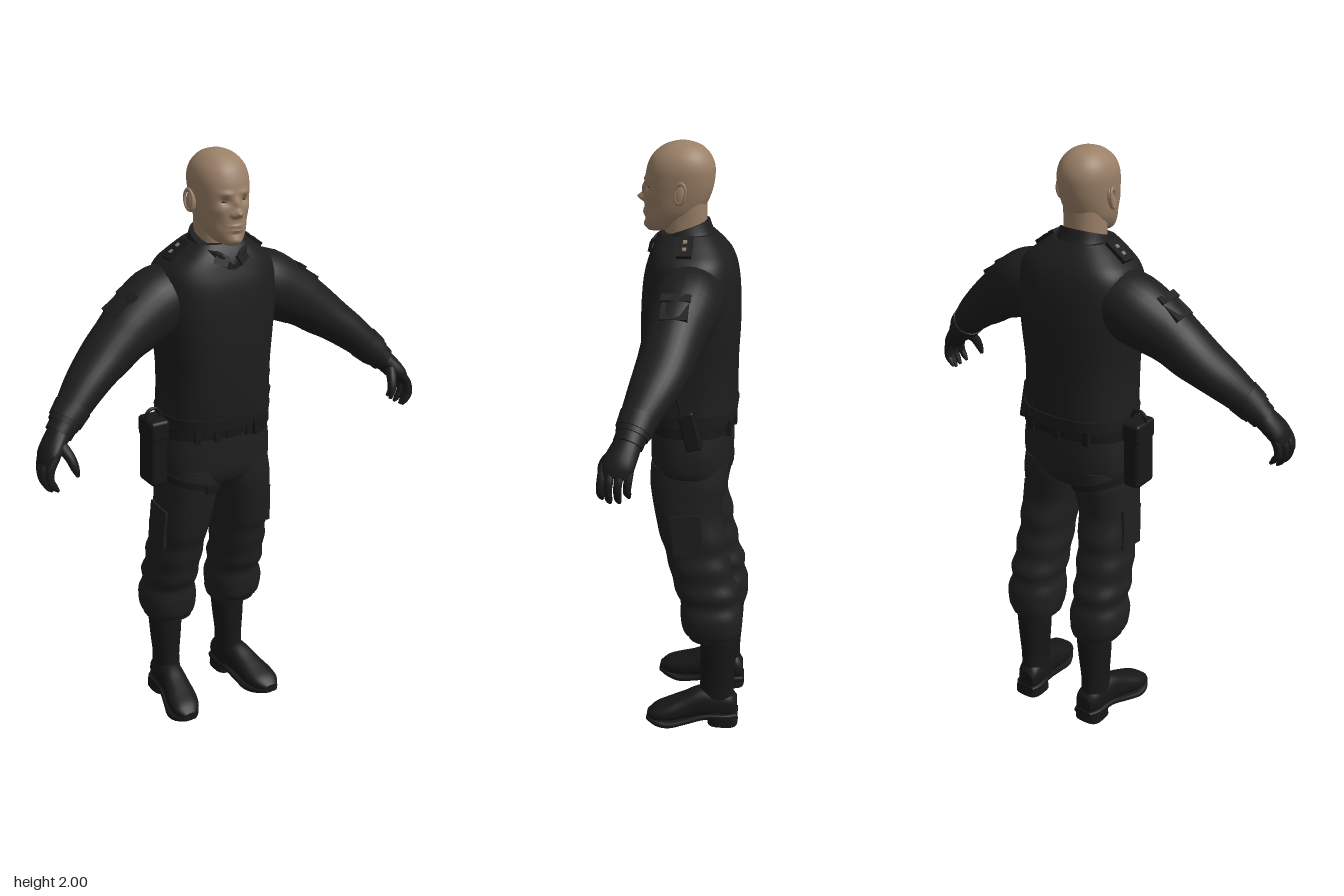
import * as THREE from 'three';
import { RoundedBoxGeometry } from 'three/addons/geometries/RoundedBoxGeometry.js';

const mat = (name, color) => Object.assign(new THREE.MeshStandardMaterial({ color }), { name });
const V3 = (x, y, z) => new THREE.Vector3(x, y, z);

// Catmull-Rom refinement of number rows
function refine(rows, sub) {
  const out = [], n = rows.length, at = i => rows[Math.min(Math.max(i, 0), n - 1)];
  for (let i = 0; i < n - 1; i++) for (let k = 0; k < sub; k++) {
    const t = k / sub, [a, b, c, d] = [at(i - 1), at(i), at(i + 1), at(i + 2)];
    out.push(b.map((_, j) => 0.5 * (2 * b[j] + (c[j] - a[j]) * t + (2 * a[j] - 5 * b[j] + 4 * c[j] - d[j]) * t * t
      + (3 * b[j] - a[j] - 3 * c[j] + d[j]) * t * t * t)));
  }
  out.push(rows[n - 1]);
  return out;
}

// Closed loft through rows [x, y, z, rv, rw]; without an axis the rings follow the path
function loft(rows, { axis = null, ref = V3(0, 0, 1), pow = 2, sides = 28, sub = 4, move = null } = {}) {
  const st = refine(rows, sub), n = st.length, pos = [], idx = [];
  const P = i => V3(...st[Math.min(Math.max(i, 0), n - 1)].slice(0, 3));
  const sp = v => Math.sign(v) * Math.abs(v) ** (2 / pow);
  st.forEach((s, i) => {
    const T = axis || P(i + 1).sub(P(i - 1)).normalize();
    const W = ref.clone().addScaledVector(T, -ref.dot(T)).normalize(), V = W.clone().cross(T);
    for (let j = 0; j < sides; j++) {
      const a = j / sides * Math.PI * 2;
      const p = P(i).addScaledVector(V, s[3] * sp(Math.cos(a))).addScaledVector(W, s[4] * sp(Math.sin(a)));
      if (move) move(p);
      pos.push(...p);
    }
  });
  for (let i = 0; i < n - 1; i++) for (let j = 0; j < sides; j++) {
    const a = i * sides + j, b = i * sides + (j + 1) % sides;
    idx.push(a, b, a + sides, b, b + sides, a + sides);
  }
  // end caps on their own vertices keep the rims crisp
  for (const [ring, flip] of [[0, true], [n - 1, false]]) {
    const base = pos.length / 3;
    pos.push(...pos.slice(ring * sides * 3, (ring + 1) * sides * 3), ...P(ring));
    for (let j = 0; j < sides; j++) {
      const a = base + j, b = base + (j + 1) % sides;
      idx.push(...(flip ? [b, a, base + sides] : [a, b, base + sides]));
    }
  }
  const g = new THREE.BufferGeometry();
  g.setAttribute('position', new THREE.Float32BufferAttribute(pos, 3));
  g.setIndex(idx);
  g.computeVertexNormals();
  return g;
}
// Upright loft from rows [x, y, half width, z front, z back]
const upright = (rows, o = {}) => loft(rows.map(([x, y, r, f, b]) => [x, y, (f + b) / 2, r, (f - b) / 2]),
  { axis: V3(0, 1, 0), ref: V3(0, 0, -1), pow: 2.4, ...o });
// Loft running from heel to toe
const along = (rows, o = {}) => loft(rows, { axis: V3(0, 0, 1), ref: V3(1, 0, 0), ...o });

export function createModel() {
  const root = new THREE.Group();
  root.name = 'uniformedMan';
  const skin = mat('skin', 0x9a8067), feature = mat('lips', 0x80624f), eye = mat('eyes', 0x3d3129);
  const cloth = mat('sweater', 0x1d1d1e), trouser = mat('trousers', 0x1f1f20), leather = mat('leather', 0x171718);
  const glove = mat('gloves', 0x1a1a1b), tan = mat('insignia', 0x8a7860);

  const add = (name, g, m, p = [0, 0, 0], r = [0, 0, 0], s = [1, 1, 1]) => {
    const o = new THREE.Mesh(g, m);
    o.name = name;
    o.position.set(...p); o.rotation.set(...r); o.scale.set(...s);
    root.add(o);
    return o;
  };
  // Adds a left part and its mirrored right copy
  const pair = (name, ...args) => {
    const o = add(name + 'Left', ...args);
    o.updateMatrix();
    const g = o.geometry.clone().applyMatrix4(o.matrix).scale(-1, 1, 1), ix = g.index.array;
    for (let i = 0; i < ix.length; i += 3) [ix[i], ix[i + 1]] = [ix[i + 1], ix[i]];
    g.computeVertexNormals();
    add(name + 'Right', g, o.material);
  };
  const box = (x, y, z) => new THREE.BoxGeometry(x, y, z);
  const ball = new THREE.SphereGeometry(1, 20, 14);

  // Head, with facial forms pushed in and out: [x, y, spread x, spread y, depth]
  const forms = [[0, 1.85, .010, .018, .010], [0, 1.822, .012, .011, .024], [.014, 1.816, .007, .007, .010],
    [.034, 1.858, .014, .010, -.012], [.032, 1.883, .020, .007, .006], [0, 1.782, .020, .004, .005],
    [0, 1.768, .018, .004, .005], [0, 1.755, .020, .004, -.003], [0, 1.735, .018, .010, .006],
    [.05, 1.83, .016, .014, .004], [.052, 1.79, .014, .018, -.004]];
  const sculpt = p => {
    if (p.z < .05) return;
    const x = Math.abs(p.x), y = p.y;
    for (const [fx, fy, sx, sy, d] of forms) p.z += d * Math.exp(-(((x - fx) / sx) ** 2) - ((y - fy) / sy) ** 2);
  };
  add('head', upright([[0, 1.717, .022, .128, .075], [0, 1.728, .042, .136, .03], [0, 1.75, .058, .138, -.005],
    [0, 1.775, .069, .139, -.04], [0, 1.80, .076, .139, -.058], [0, 1.84, .083, .138, -.075],
    [0, 1.88, .088, .136, -.084], [0, 1.92, .089, .129, -.085], [0, 1.955, .078, .112, -.072],
    [0, 1.983, .053, .08, -.045], [0, 1.996, .025, .045, -.012], [0, 2, .003, .02, .014]],
  { sides: 96, sub: 8, pow: 2.15, move: sculpt }), skin);
  add('neck', upright([[0, 1.62, .07, .08, -.06], [0, 1.70, .064, .075, -.058], [0, 1.75, .064, .075, -.06],
    [0, 1.81, .066, .07, -.06]]), skin);
  pair('eye', ball, eye, [.033, 1.857, .113], [0, .25, 0], [.013, .005, .010]);
  add('mouth', ball, feature, [0, 1.775, .137], [0, 0, 0], [.022, .0035, .008]);
  pair('ear', ball, skin, [.091, 1.845, .016], [-.15, -.3, .12], [.010, .034, .020]);
  pair('earRim', new THREE.TorusGeometry(.022, .005, 8, 24), skin, [.098, 1.85, .014], [-.15, 1.27, 0], [.8, 1.4, 1]);

  // Sweater body, hem and collar
  add('torso', upright([[0, 1.105, .180, .125, -.155], [0, 1.13, .188, .137, -.163], [0, 1.2, .184, .146, -.164],
    [0, 1.3, .184, .150, -.165], [0, 1.4, .194, .150, -.170], [0, 1.5, .205, .146, -.170],
    [0, 1.585, .205, .137, -.162], [0, 1.64, .190, .122, -.145], [0, 1.68, .145, .108, -.118],
    [0, 1.715, .098, .088, -.085]], { pow: 2.6, sides: 48 }), cloth);
  add('hem', upright([[0, 1.105, .188, .136, -.162], [0, 1.15, .190, .145, -.168]], { pow: 2.6, sides: 48 }), cloth);
  const slant = p => {
    p.y -= (p.z - .03) * .35;
    if (p.z > .03) p.y -= .035 * Math.exp(-((p.x / .028) ** 2));
  };
  add('collar', upright([[0, 1.655, .108, .118, -.092], [0, 1.69, .094, .122, -.078], [0, 1.722, .086, .122, -.068]],
    { move: slant, sides: 64, pow: 2.2 }), cloth);
  pair('collarPoint', box(.045, .035, .008), cloth, [.038, 1.672, .112], [-.35, .3, .5]);

  // Sleeves with shoulder boards and upper-arm pockets
  pair('sleeve', loft([[.11, 1.56, -.025, .095, .10], [.2, 1.527, -.02, .113, .112], [.3, 1.473, 0, .099, .098],
    [.35, 1.44, .01, .087, .092], [.40, 1.402, .02, .080, .088], [.45, 1.365, .035, .070, .082],
    [.50, 1.325, .055, .063, .072], [.555, 1.275, .08, .054, .058], [.595, 1.236, .095, .049, .051]]), cloth);
  pair('sleeveCuff', loft([[.55, 1.28, .078, .058, .061], [.585, 1.247, .092, .054, .056]], { sub: 2 }), cloth);
  pair('sleevePocket', box(.085, .016, .085), cloth, [.342, 1.549, 0], [0, 0, -.6]);
  pair('sleevePocketFlap', box(.028, .024, .092), cloth, [.312, 1.573, 0], [0, 0, -.58]);
  pair('shoulderBoard', box(.085, .014, .046), leather, [.135, 1.692, -.005], [0, 0, -.62]);
  for (const t of [-.016, .014]) {
    pair('shoulderPip', box(.013, .006, .013), tan, [.141 + t * .8, 1.697 - t * .58, -.005], [0, 0, -.62]);
  }

  // Gloved hands with curled fingers
  pair('gloveCuff', loft([[.575, 1.255, .09, .046, .048], [.615, 1.215, .104, .043, .046]], { sub: 2 }), glove);
  pair('palm', loft([[.60, 1.23, .10, .036, .040], [.63, 1.20, .112, .034, .046], [.66, 1.165, .127, .030, .050],
    [.678, 1.135, .132, .018, .042]], { sides: 20 }), glove);
  [[.090, -.010, .013], [.117, 0, 0], [.144, .003, 0], [.169, -.006, .008]].forEach(([z, dx, dy], i) =>
    pair('finger' + (i + 1), loft([[.655, 1.17, z, .014, .013], [.683 + dx, 1.135, z + .004, .014, .013],
      [.687 + dx, 1.10, z + .008, .013, .012], [.675 + dx, 1.07 + dy, z + .008, .011, .011],
      [.662 + dx, 1.053 + dy, z + .006, .005, .005]], { sides: 12, sub: 3 }), glove));
  pair('thumb', loft([[.63, 1.20, .13, .020, .020], [.612, 1.165, .168, .017, .017], [.602, 1.13, .184, .014, .014],
    [.594, 1.10, .188, .006, .006]], { sides: 12, sub: 3 }), glove);

  // Trousers
  add('hips', upright([[0, .875, .10, .07, -.10], [0, .90, .165, .10, -.13], [0, .94, .195, .116, -.147],
    [0, 1.0, .199, .119, -.152], [0, 1.06, .192, .119, -.151], [0, 1.12, .182, .118, -.148]],
  { pow: 2.6, sides: 48 }), trouser);
  pair('trouserLeg', upright([[.13, .345, .078, -.02, -.185], [.134, .37, .09, .002, -.198],
    [.135, .43, .095, .010, -.198], [.133, .475, .083, .010, -.185], [.133, .515, .090, .028, -.186],
    [.130, .56, .084, .037, -.165], [.128, .61, .090, .052, -.160], [.124, .66, .084, .062, -.144],
    [.122, .71, .090, .080, -.143], [.115, .78, .091, .095, -.124], [.106, .85, .094, .108, -.132],
    [.100, .90, .096, .114, -.143], [.096, .96, .09, .112, -.143]]), trouser);
  pair('trouserCuff', upright([[.13, .338, .080, -.018, -.188], [.131, .362, .087, -.010, -.196]], { sub: 2 }), trouser);
  pair('thighPocket', box(.014, .14, .10), trouser, [.205, .74, -.02], [.08, 0, .05]);

  // Belt with loops, buckle and small pouches
  add('belt', upright([[0, 1.075, .196, .125, -.156], [0, 1.112, .193, .126, -.156]],
    { pow: 2.6, sides: 48, sub: 2 }), leather);
  add('buckle', box(.055, .04, .014), leather, [0, 1.094, .126]);
  for (const x of [.06, .125]) pair('frontLoop', box(.022, .05, .016), leather, [x, 1.092, x > .1 ? .108 : .122], [0, x, 0]);
  for (const x of [0, .11]) pair('backLoop', box(.022, .05, .014), leather, [x, 1.092, x ? -.145 : -.156]);
  add('beltPouch', box(.05, .05, .025), leather, [.095, 1.092, .12], [0, .3, 0]);

  // Holster on the right hip with its thigh strap
  add('holster', new RoundedBoxGeometry(.062, .23, .095, 3, .014), leather, [-.224, 1.025, -.01], [0, 0, -.02]);
  add('holsterFlap', new RoundedBoxGeometry(.068, .07, .10, 3, .012), leather, [-.222, 1.105, -.01]);
  add('holsterLoop', new THREE.TorusGeometry(.026, .006, 8, 20), leather, [-.224, 1.145, -.01]);
  add('thighStrap', upright([[-.103, .895, .101, .121, -.145], [-.102, .918, .101, .122, -.147]],
    { sub: 2, move: p => { p.y -= (p.x + .1) * .28; } }), leather);
  add('strapBuckle', box(.03, .028, .018), leather, [-.09, .903, .127]);

  // Radio on the left hip
  add('radio', new RoundedBoxGeometry(.038, .13, .052, 3, .008), leather, [.204, 1.11, -.03], [.25, 0, 0]);
  add('radioAntenna', new THREE.CylinderGeometry(.005, .007, .08, 10), leather, [.208, 1.19, .004], [.25, 0, 0]);

  // Boots
  pair('bootShaft', upright([[.131, .05, .046, -.04, -.178], [.132, .10, .044, -.05, -.176], [.132, .16, .044, -.058, -.174],
    [.131, .24, .052, -.058, -.180], [.130, .32, .058, -.058, -.185], [.130, .37, .058, -.058, -.185]], { pow: 2.1 }), leather);
  pair('bootFoot', along([[.127, .065, -.184, .035, .030], [.130, .075, -.16, .05, .043], [.135, .08, -.10, .058, .046],
    [.142, .078, -.05, .056, .046], [.150, .064, 0, .046, .051], [.159, .052, .05, .036, .056],
    [.166, .044, .095, .025, .047], [.169, .036, .124, .010, .022]], { pow: 2.3 }), leather);
  pair('sole', along([[.127, .034, -.188, .010, .035], [.131, .034, -.15, .012, .048], [.137, .034, -.08, .012, .047],
    [.150, .020, -.01, .012, .053], [.160, .013, .045, .013, .060], [.167, .018, .09, .013, .050],
    [.169, .026, .126, .008, .024]], { pow: 3.5 }), leather);
  pair('heel', upright([[.133, 0, .050, -.085, -.19], [.133, .04, .048, -.088, -.188]], { pow: 3.2, sub: 1 }), leather);

  return root;
}
